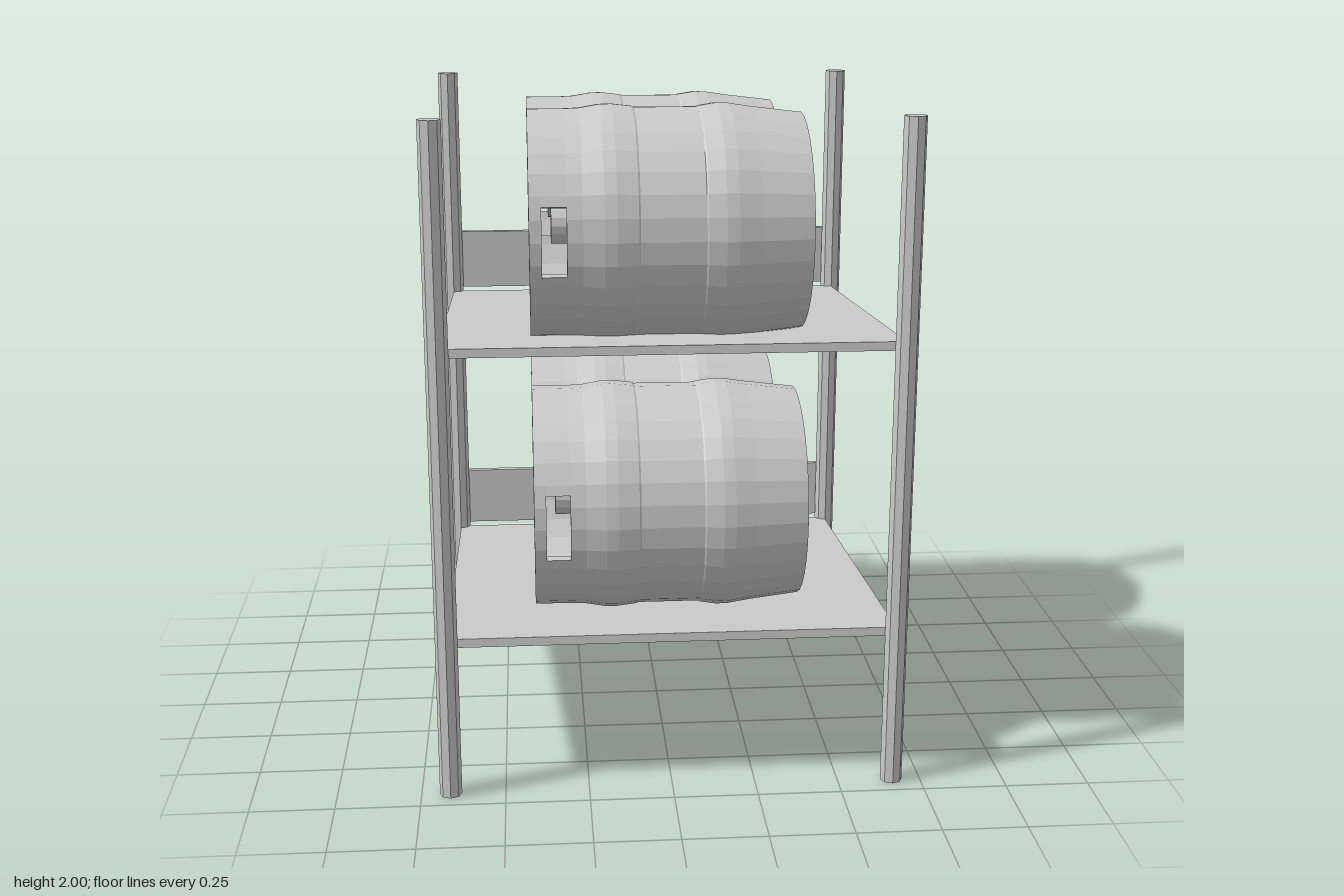
import * as THREE from 'three';

const steel = new THREE.MeshStandardMaterial({ color: 0xcccccc, flatShading: true });
const SIDES = 32;
const STEP = (Math.PI * 2) / SIDES;
const R_OUT = 0.333, R_IN = 0.312;

function part(name, geometry, parent, x = 0, y = 0, z = 0) {
  const mesh = new THREE.Mesh(geometry, steel);
  mesh.name = name;
  mesh.position.set(x, y, z);
  parent.add(mesh);
  return mesh;
}

// Faceted band of wall between two angles, extruded along x from x0 to x1
function bandGeometry(a0, a1, x0, x1) {
  const angles = [a0];
  for (let k = Math.floor(a0 / STEP + 1e-6) + 1; k * STEP < a1 - 1e-6; k++) angles.push(k * STEP);
  angles.push(a1);
  const at = (r) => (a) => new THREE.Vector2(r * Math.cos(a), r * Math.sin(a));
  const shape = new THREE.Shape([...angles.map(at(R_OUT)), ...angles.reverse().map(at(R_IN))]);
  return new THREE.ExtrudeGeometry(shape, { depth: x1 - x0, bevelEnabled: false })
    .rotateY(Math.PI / 2)
    .translate(x0, 0, 0);
}

// Profile points are [radius, position along the keg]
function latheX(profile, sides) {
  const points = profile.map(([r, x]) => new THREE.Vector2(r, x));
  return new THREE.LatheGeometry(points, sides).rotateZ(-Math.PI / 2);
}

// Keg lying along x, with its open rim and valve at -x
function makeKeg(y, z) {
  const keg = new THREE.Group();
  keg.name = 'keg';
  keg.position.set(0, y, z);

  // Body with two swollen hoops, flat end at +x, recessed end at -x
  part('kegBody', latheX([
    [0, -0.255], [R_IN, -0.255], [R_IN, -0.295], [R_OUT, -0.295],
    [0.335, -0.25], [0.345, -0.19], [0.346, -0.155], [0.339, -0.095],
    [0.336, -0.09], [0.336, 0.095], [0.339, 0.1], [0.347, 0.15],
    [0.346, 0.185], [0.336, 0.25], [0.318, 0.4], [0, 0.4],
  ], SIDES), keg);

  // Outer lip of the rim
  part('rimLip', latheX([
    [R_IN, -0.365], [R_IN, -0.4], [R_OUT, -0.4], [R_OUT, -0.365], [R_IN, -0.365],
  ], SIDES), keg);

  // Rim walls above and below, leaving a hand hole on each side
  const half = Math.PI / 2 - 0.3;
  for (const mid of [Math.PI / 2, -Math.PI / 2]) {
    part('rimWall', bandGeometry(mid - half, mid + half, -0.365, -0.295), keg);
  }

  part('valve', latheX([[0, -0.335], [0.062, -0.335], [0.062, -0.25]], 16), keg);
  return keg;
}

export function createModel() {
  const rack = new THREE.Group();
  rack.name = 'kegRack';

  // Corner posts
  for (const x of [-0.663, 0.663]) {
    for (const z of [-0.648, 0.677]) {
      part('post', new THREE.CylinderGeometry(0.033, 0.033, 2, 8), rack, x, 1, z);
    }
  }

  // Two tiers: a shelf sloping down to a back board
  for (const lift of [0, 0.87]) {
    const shelf = part('shelf', new THREE.BoxGeometry(1.326, 0.026, 1.325), rack, 0, 0.422 + lift, 0.015);
    shelf.rotation.x = -THREE.MathUtils.degToRad(5);
    part('backBoard', new THREE.BoxGeometry(1.326, 0.195, 0.022), rack, 0, 0.487 + lift, -0.666);
  }

  // Two kegs on each tier
  for (const [y, z] of [[0.815, 0.323], [0.762, -0.363], [1.653, 0.323], [1.615, -0.363]]) {
    rack.add(makeKeg(y, z));
  }
  return rack;
}
